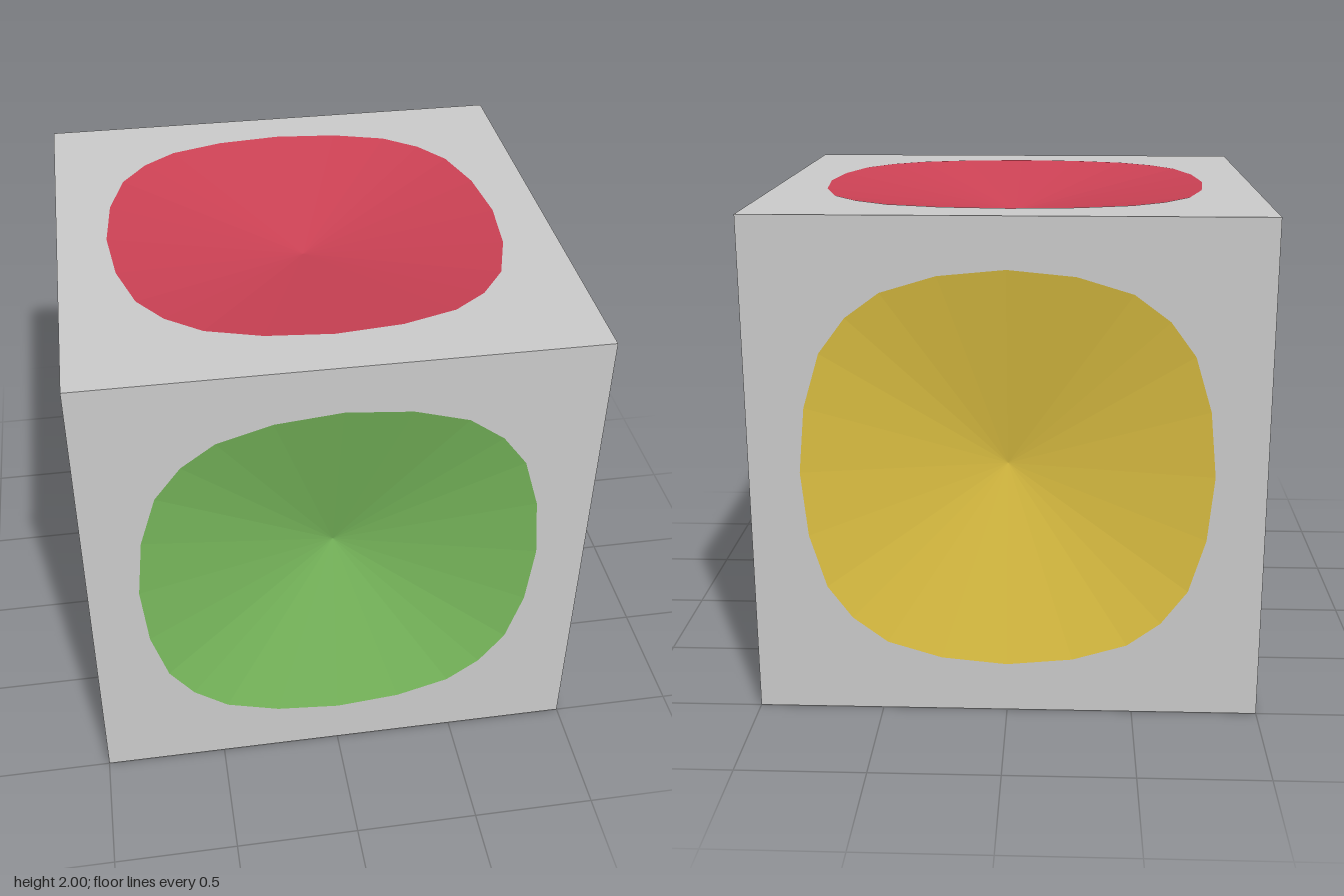
import * as THREE from 'three';

// One quarter of the rounded-square rim, from +y round to +x
const QUARTER = [[0, 0.8], [0.26, 0.775], [0.475, 0.71], [0.613, 0.607], [0.71, 0.475], [0.775, 0.26]];

// Full 24-point rim, counter-clockwise, shifted by (dx, dy)
function rimPoints(dx, dy) {
  const points = [];
  for (let q = 0; q < 4; q++) {
    for (const [x, y] of QUARTER) {
      const p = new THREE.Vector2(x, y).rotateAround(new THREE.Vector2(), -q * Math.PI / 2);
      points.push(new THREE.Vector2(p.x + dx, p.y + dy));
    }
  }
  return points.reverse();
}

// Flat square panel with the rim cut out of it
function panelGeometry(rim) {
  const square = new THREE.Shape([
    new THREE.Vector2(-1, -1), new THREE.Vector2(1, -1),
    new THREE.Vector2(1, 1), new THREE.Vector2(-1, 1),
  ]);
  if (rim) square.holes.push(new THREE.Path(rim));
  return new THREE.ShapeGeometry(square);
}

// Shallow faceted hollow: a fan from the rim down to a central point
function dishGeometry(rim, depth) {
  const positions = [];
  rim.forEach((a, i) => {
    const b = rim[(i + 1) % rim.length];
    positions.push(0, 0, -depth, a.x, a.y, 0, b.x, b.y, 0);
  });
  const geometry = new THREE.BufferGeometry();
  geometry.setAttribute('position', new THREE.Float32BufferAttribute(positions, 3));
  geometry.computeVertexNormals();
  return geometry;
}

export function createModel() {
  const model = new THREE.Group();
  model.name = 'dishedCube';
  const grey = new THREE.MeshStandardMaterial({ color: 0xcccccc, side: THREE.DoubleSide });
  const H = Math.PI / 2;

  // Each side: name, turn about x and y, dish colour, dish depth, rim shift
  const sides = [
    { name: 'front', rx: 0, ry: 0, color: 0x78b85c, depth: 0.2, shift: [0, 0] },
    { name: 'back', rx: 0, ry: Math.PI, color: 0xdcbf42, depth: 0.15, shift: [0, 0] },
    { name: 'right', rx: 0, ry: H, color: 0x848484, depth: 0.16, shift: [0.015, 0] },
    { name: 'left', rx: 0, ry: -H, color: 0x5c84c8, depth: 0.16, shift: [-0.015, 0] },
    { name: 'top', rx: -H, ry: 0, color: 0xcd4255, depth: 0.13, shift: [0, 0.015] },
    { name: 'bottom', rx: H, ry: 0 },
  ];

  for (const { name, rx, ry, color, depth, shift } of sides) {
    const side = new THREE.Group();
    side.name = name + 'Side';
    side.rotation.set(rx, ry, 0);
    // Push the side out from the cube's centre at y = 1
    side.position.set(0, 0, 1).applyEuler(side.rotation);
    side.position.y += 1;

    const rim = shift && rimPoints(...shift);
    const panel = new THREE.Mesh(panelGeometry(rim), grey);
    panel.name = name + 'Panel';
    side.add(panel);

    if (rim) {
      const material = new THREE.MeshStandardMaterial({ color, flatShading: true, side: THREE.DoubleSide });
      const dish = new THREE.Mesh(dishGeometry(rim, depth), material);
      dish.name = name + 'Dish';
      side.add(dish);
    }
    model.add(side);
  }
  return model;
}
